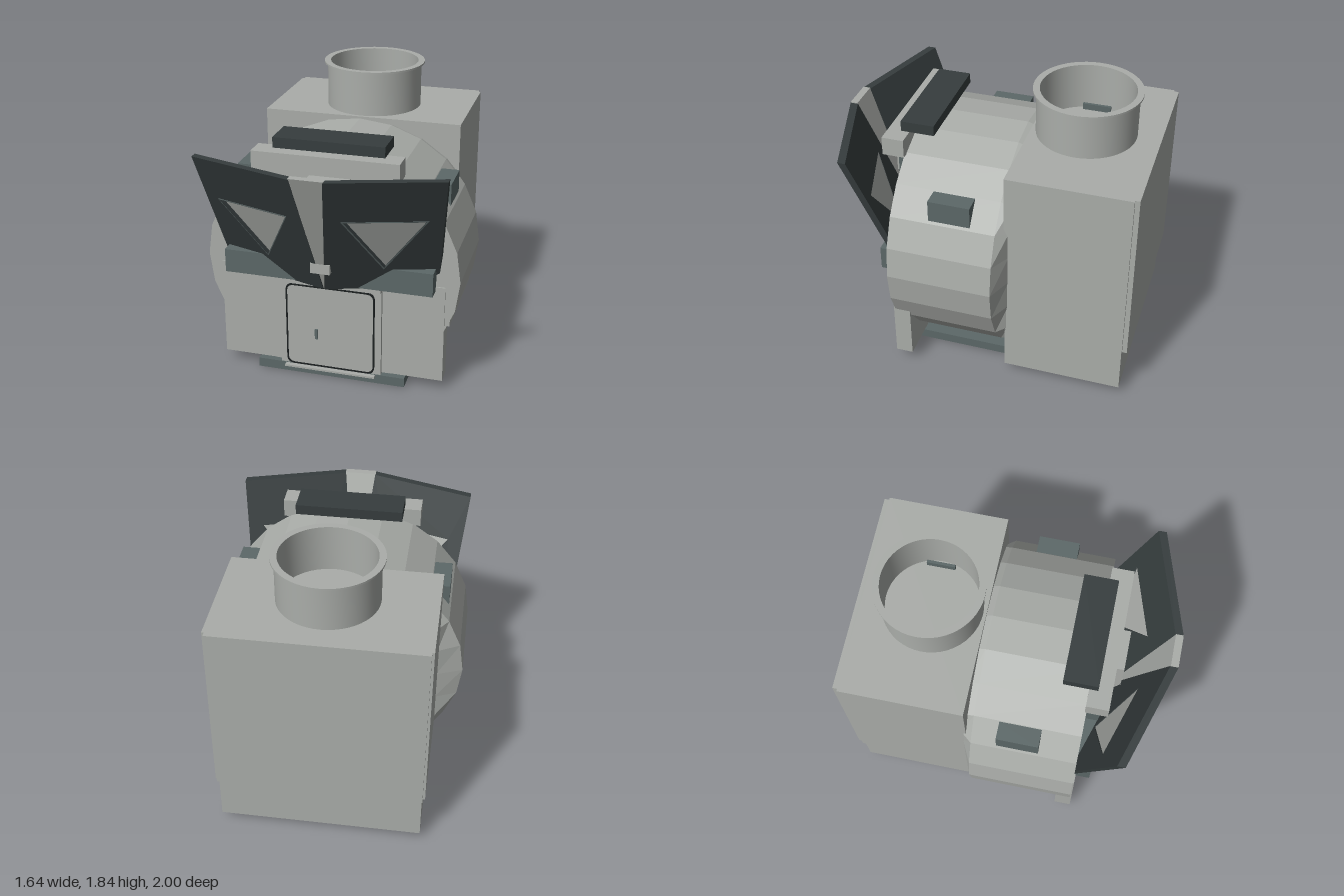
import * as THREE from 'three';
import { toCreasedNormals } from 'three/addons/utils/BufferGeometryUtils.js';

const mat = (name, color) => {
  const m = new THREE.MeshStandardMaterial({ color });
  m.name = name;
  return m;
};

export function createModel() {
  const model = new THREE.Group();
  const grey = mat('light grey', 0xaaada9);
  const slate = mat('slate', 0x5c6868);
  const dark = mat('charcoal', 0x363d3e);
  const black = mat('seam black', 0x1c2021);

  const add = (name, geometry, material) => {
    const mesh = new THREE.Mesh(geometry, material);
    mesh.name = name;
    model.add(mesh);
    return mesh;
  };
  // Box given by its limits on each axis
  const box = (name, material, x0, x1, y0, y1, z0, z1) => {
    const g = new THREE.BoxGeometry(x1 - x0, y1 - y0, z1 - z0);
    g.translate((x0 + x1) / 2, (y0 + y1) / 2, (z0 + z1) / 2);
    return add(name, g, material);
  };
  const poly = (pts) => new THREE.Shape(pts.map(([x, y]) => new THREE.Vector2(x, y)));
  // Extruded outline from z0 to z1, with an optional rule that moves its vertices
  const slab = (name, material, shape, z0, z1, rule) => {
    const g = new THREE.ExtrudeGeometry(shape, { depth: z1 - z0, bevelEnabled: false, curveSegments: 6 });
    g.translate(0, 0, z0);
    if (rule) {
      const p = g.attributes.position, v = new THREE.Vector3();
      for (let i = 0; i < p.count; i++) {
        rule(v.fromBufferAttribute(p, i));
        p.setXYZ(i, v.x, v.y, v.z);
      }
      g.computeVertexNormals();
    }
    return add(name, g, material);
  };
  const roundRect = (x0, x1, y0, y1, r) => {
    const s = new THREE.Shape();
    s.moveTo(x0 + r, y0);
    s.lineTo(x1 - r, y0);
    s.quadraticCurveTo(x1, y0, x1, y0 + r);
    s.lineTo(x1, y1 - r);
    s.quadraticCurveTo(x1, y1, x1 - r, y1);
    s.lineTo(x0 + r, y1);
    s.quadraticCurveTo(x0, y1, x0, y1 - r);
    s.lineTo(x0, y0 + r);
    s.quadraticCurveTo(x0, y0, x0 + r, y0);
    return s;
  };

  // Faceted drum with a flat underside, narrowing into the rear housing
  const ring = [];
  for (let i = 0; i < 24; i++) {
    const a = (i / 24) * Math.PI * 2;
    const y = 0.77 + 0.77 * Math.sin(a);
    if (y > 0.06) ring.push([0.82 * Math.cos(a), y]);
    else if (i === 17 || i === 19) ring.push([0.38 * Math.sign(i - 18), 0.06]);
  }
  slab('drum', grey, poly(ring), -0.16, 0.51);
  slab('drumTaper', grey, poly(ring), -0.23, -0.16, (v) => {
    if (v.z < -0.2) {
      v.x = THREE.MathUtils.clamp(v.x, -0.65, 0.65);
      v.y = 0.77 + (v.y - 0.77) * 0.97;
    }
  });

  // Rear housing
  box('rearHousing', grey, -0.66, 0.66, 0.38, 1.54, -0.97, -0.2);
  box('rearPanel', grey, -0.645, 0.645, 0.38, 1.54, -1, -0.97);
  box('rearPlinth', grey, -0.64, 0.64, 0.065, 0.38, -0.965, -0.2);

  // Open chimney with a thin rim and two inner grips
  const profile = [[0.315, 1.54], [0.315, 1.828], [0.337, 1.828], [0.337, 1.84], [0.295, 1.84], [0.295, 1.54]];
  const lathe = new THREE.LatheGeometry(profile.map(([x, y]) => new THREE.Vector2(x, y)), 48);
  const chimney = add('chimney', toCreasedNormals(lathe, 0.6), grey);
  chimney.position.z = -0.535;

  // Base plate with slots underneath
  box('basePlate', slate, -0.49, 0.49, 0.003, 0.065, -0.16, 0.55);

  for (const s of [-1, 1]) {
    const side = s > 0 ? 'left' : 'right';
    box(side + 'ChimneyGrip', slate, s * 0.26 - 0.009, s * 0.26 + 0.009, 1.54, 1.58, -0.63, -0.45);
    box(side + 'SideBlock', slate, s * 0.64 - 0.058, s * 0.64 + 0.058, 1.16, 1.31, 0, 0.265);
    for (const z of [0.08, 0.3])
      box(side + 'BaseSlot', grey, s * 0.17 - 0.06, s * 0.17 + 0.06, 0, 0.004, z - 0.012, z + 0.012);

    // Leaning mask panel with a triangular eye
    const lean = (v) => { v.z += 0.67 - 0.31 * Math.abs(v.x) + 0.435 * (v.y - 0.7); };
    const eye = (k) => [[0.655, 1.245], [0.165, 1.245], [0.37, 0.865]]
      .map(([x, y]) => [s * (0.397 + (x - 0.397) * k), 1.118 + (y - 1.118) * k]);
    const panel = poly([[0.005, 0.7], [0.1, 1.535], [0.775, 1.535], [0.68, 0.73], [0.67, 0.7]].map(([x, y]) => [s * x, y]));
    panel.holes.push(poly(eye(0.96)));
    slab(side + 'MaskPanel', dark, panel, -0.05, 0, lean);
    const rim = poly(eye(1));
    rim.holes.push(poly(eye(0.96)));
    slab(side + 'EyeRim', slate, rim, 0, 0.006, lean);
    slab(side + 'EyePane', grey, poly(eye(0.96)), -0.045, -0.036, lean);
  }

  // Wedge between the mask panels and the small nose block
  slab('maskWedge', grey, poly([[0, 0.7], [0.105, 1.54], [-0.105, 1.54]]), -0.05, -0.003,
    (v) => { v.z += 0.67 + 0.397 * (v.y - 0.7); });
  box('noseBlock', grey, -0.062, 0.062, 0.84, 0.905, 0.6, 0.75);

  // Crossbars and supports around the mask
  box('lowerCrossbar', slate, -0.67, 0.67, 0.705, 0.86, 0.5, 0.61);
  box('maskMount', slate, -0.32, 0.32, 0.86, 1.34, 0.5, 0.595);
  box('maskArm', grey, -0.13, 0.13, 1.1, 1.385, 0.5, 0.69);
  box('upperCrossbar', grey, -0.46, 0.46, 1.43, 1.55, 0.5, 0.64);
  box('topBar', dark, -0.35, 0.35, 1.55, 1.617, 0.34, 0.555);

  // Front apron and door
  box('apron', grey, -0.73, 0.73, 0.073, 0.73, 0.41, 0.52);
  box('doorSurround', grey, -0.335, 0.335, 0.055, 0.66, 0.5, 0.545);
  box('doorHood', grey, -0.335, 0.335, 0.66, 0.7, 0.5, 0.575);
  box('doorSill', grey, -0.3, 0.3, 0.05, 0.063, 0.5, 0.58);
  const seam = roundRect(-0.293, 0.293, 0.066, 0.646, 0.05);
  seam.holes.push(roundRect(-0.283, 0.283, 0.076, 0.636, 0.045));
  slab('doorSeam', black, seam, 0.545, 0.553);
  slab('door', grey, roundRect(-0.283, 0.283, 0.076, 0.636, 0.045), 0.545, 0.55);
  box('doorHandle', slate, -0.1, -0.08, 0.27, 0.34, 0.545, 0.56);

  return model;
}
